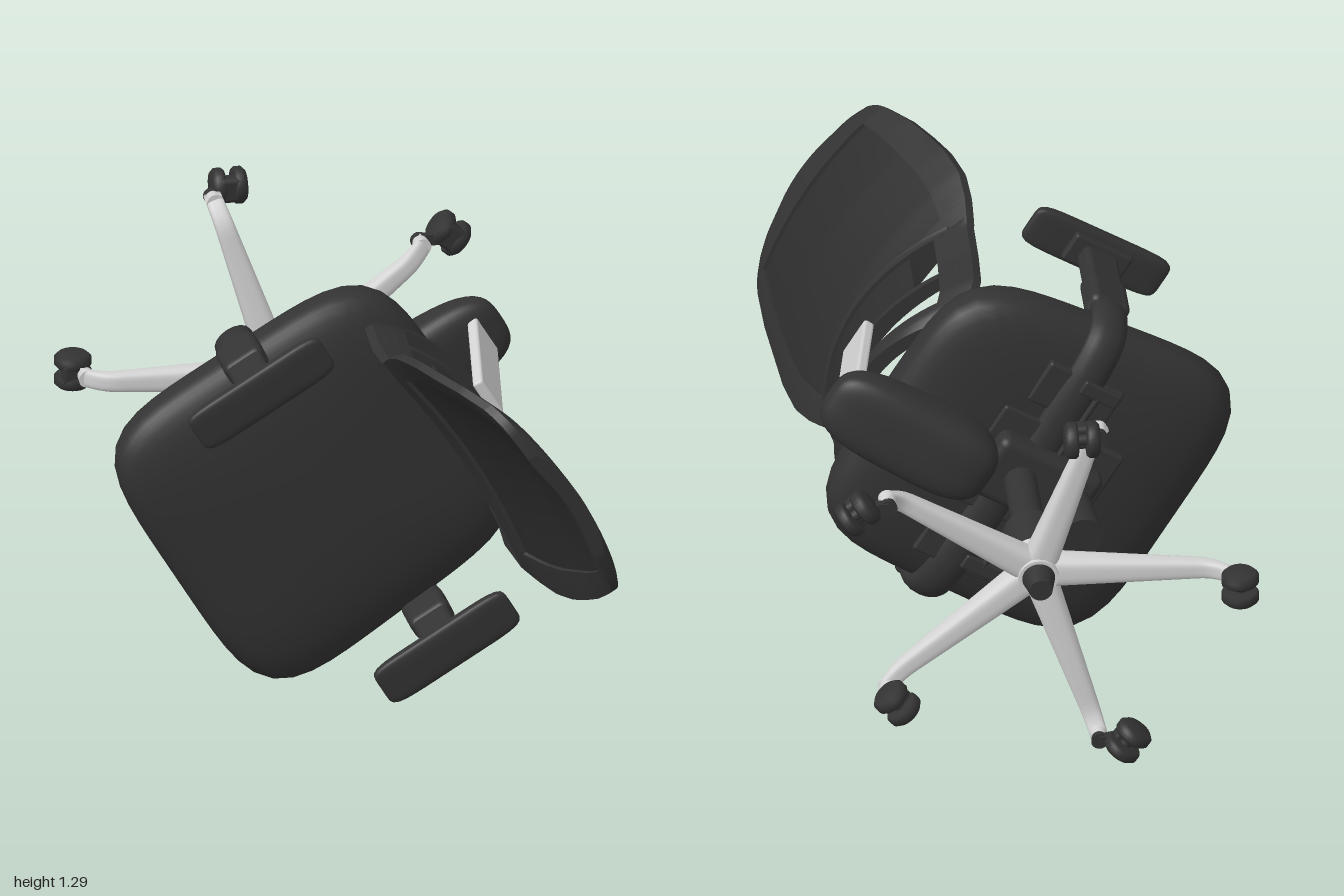
import * as THREE from 'three';
import { mergeVertices } from 'three/addons/utils/BufferGeometryUtils.js';
import { RoundedBoxGeometry } from 'three/addons/geometries/RoundedBoxGeometry.js';

const mat = (name, color) => Object.assign(new THREE.MeshStandardMaterial({ color }), { name });

// Piecewise-linear lookup in a short list of [x, y] pairs
function lookup(table, x) {
  let i = 0;
  while (i < table.length - 2 && x > table[i + 1][0]) i++;
  const [[x0, y0], [x1, y1]] = [table[i], table[i + 1]];
  return y0 + (y1 - y0) * THREE.MathUtils.clamp((x - x0) / (x1 - x0), 0, 1);
}

// Move every vertex of a geometry by a rule
function warp(geo, rule) {
  const p = geo.attributes.position;
  const v = new THREE.Vector3();
  for (let i = 0; i < p.count; i++) {
    v.fromBufferAttribute(p, i);
    rule(v);
    p.setXYZ(i, v.x, v.y, v.z);
  }
  geo.computeVertexNormals();
  return geo;
}

// Join coincident corners so that the surface shades smoothly
function weld(geo) {
  geo.deleteAttribute('uv');
  geo.deleteAttribute('normal');
  return mergeVertices(geo, 1e-5);
}

// Rounded cushion: superellipse in plan (n) and in section (m), half sizes a, b, c
function pillow(a, b, c, n, m, rule = () => {}) {
  return warp(weld(new THREE.SphereGeometry(1, 64, 32)), (v) => {
    const r = Math.hypot(v.x, v.z);
    const plan = r < 1e-4 ? 1 : ((Math.abs(v.x) / r) ** n + (Math.abs(v.z) / r) ** n) ** (-1 / n);
    const sect = (r ** m + Math.abs(v.y) ** m) ** (-1 / m);
    v.set(v.x * plan * sect * a, v.y * sect * b, v.z * plan * sect * c);
    rule(v);
  });
}

// Backrest surface: half width, edge position and hollow at each height
const HALF = [[-0.05, 0.31], [-0.02, 0.36], [0.05, 0.4], [0.2, 0.395], [0.34, 0.41], [0.42, 0.455], [0.5, 0.48], [0.6, 0.475],
  [0.7, 0.45], [0.8, 0.42], [0.9, 0.375], [0.94, 0.35], [0.97, 0.315], [0.99, 0.27], [1, 0.2]];
const EDGE = [[-0.05, -0.35], [0.2, -0.33], [0.35, -0.34], [0.5, -0.39], [0.7, -0.46], [0.9, -0.54], [1, -0.57]];
const BOW = [[0, 0.15], [0.355, 0.14], [0.365, 0.04], [0.5, 0.07], [0.7, 0.08], [0.9, 0.05], [1, 0.03]];

function backPatch(u0, u1, h0, h1, thick) {
  const geo = new THREE.BoxGeometry(1, 1, 1, 24, Math.max(6, Math.ceil((h1 - h0) * 60)), 2);
  return warp(geo, (v) => {
    const u = u0 + (u1 - u0) * (v.x + 0.5);
    const h = h0 + (h1 - h0) * (v.y + 0.5);
    const round = 1 - 0.45 * Math.abs(u) ** 8;
    v.set(u * lookup(HALF, h), h, lookup(EDGE, h) - lookup(BOW, h) * (1 - u * u) + v.z * thick * round);
  });
}

export function createModel() {
  const model = new THREE.Group();
  const dark = mat('charcoal', 0x333333);
  const fabric = mat('dark fabric', 0x2d2d2d);
  const metal = mat('brushed grey', 0xd2d2d2);

  const add = (parent, name, geo, material, x = 0, y = 0, z = 0) => {
    const m = new THREE.Mesh(geo, material);
    m.name = name;
    m.position.set(x, y, z);
    parent.add(m);
    return m;
  };
  const cyl = (rt, rb, h, n = 32) => new THREE.CylinderGeometry(rt, rb, h, n);

  // The chair lies with its upright axis along the model's z
  const chair = new THREE.Group();
  chair.name = 'chair';
  chair.rotation.x = Math.PI / 2;
  chair.position.set(0, 0.67, 0);
  model.add(chair);

  // Five-star base
  const base = new THREE.Group();
  base.name = 'base';
  chair.add(base);
  add(base, 'hub', cyl(0.075, 0.06, 0.11), metal, 0, -0.78, 0);
  add(base, 'hubCap', cyl(0.05, 0.035, 0.07), dark, 0, -0.87, 0);
  add(base, 'columnSleeve', cyl(0.083, 0.07, 0.15), dark, 0, -0.655, 0);
  add(base, 'gasColumn', cyl(0.05, 0.05, 0.4), dark, 0, -0.4, 0);

  // Leg: tapered, squarish bar that droops and hooks down at the tip
  const legGeo = warp(weld(new THREE.CylinderGeometry(1, 1, 1, 24, 24).rotateZ(-Math.PI / 2)), (v) => {
    const t = v.x + 0.5;
    const square = 1 / ((v.y ** 4 + v.z ** 4) ** 0.25 || 1);
    const hook = Math.max(0, (t - 0.82) / 0.18) ** 2;
    v.set(0.03 + 0.56 * t, -0.78 - 0.055 * t - 0.05 * hook + v.y * square * (0.045 - 0.025 * t),
      v.z * square * (0.05 - 0.024 * t));
  });
  const wheelProfile = [[0, -0.02], [0.05, -0.02], [0.057, -0.012], [0.057, 0.008], [0.045, 0.02], [0, 0.022]];
  const wheelGeo = new THREE.LatheGeometry(wheelProfile.map(([r, y]) => new THREE.Vector2(r, y)), 28);
  // Leg angle, wheel centre x and z, axle angle (degrees)
  const casters = [[180, -0.6, 0, 90], [108, -0.12, -0.56, 0], [36, 0.56, -0.34, -40], [-36, 0.44, 0.35, 50], [252, -0.26, 0.53, -55]];
  for (const [deg, x, z, axle] of casters) {
    const a = THREE.MathUtils.degToRad(deg);
    add(base, 'leg', legGeo, metal).rotation.y = a;
    const [sx, sz] = [0.572 * Math.cos(a), -0.572 * Math.sin(a)];
    add(base, 'legTip', cyl(0.027, 0.024, 0.04, 20), metal, sx, -0.878, sz);
    add(base, 'casterStem', cyl(0.022, 0.026, 0.03, 20), dark, sx, -0.905, sz);
    const link = add(base, 'casterLink', new THREE.BoxGeometry(Math.hypot(x - sx, z - sz), 0.025, 0.035), dark,
      (x + sx) / 2, -0.915, (z + sz) / 2);
    link.rotation.y = -Math.atan2(z - sz, x - sx);
    const caster = new THREE.Group();
    caster.name = 'caster';
    caster.position.set(x, -0.943, z);
    caster.rotation.y = THREE.MathUtils.degToRad(axle);
    base.add(caster);
    for (const s of [-1, 1]) {
      add(caster, 'wheel', wheelGeo, dark, s * 0.033, 0, 0).rotation.z = -s * Math.PI / 2;
    }
    add(caster, 'axle', cyl(0.018, 0.018, 0.07, 16), dark).rotation.z = Math.PI / 2;
    add(caster, 'casterHood', new RoundedBoxGeometry(0.07, 0.05, 0.08, 2, 0.015), dark, 0, 0.025, 0);
  }

  // Swivelled upper part: +z is the sitter's forward
  const upper = new THREE.Group();
  upper.name = 'upper';
  upper.rotation.y = -THREE.MathUtils.degToRad(59);
  chair.add(upper);

  // Seat cushion, sloping slightly to the rear
  add(upper, 'seat', pillow(0.515, 0.132, 0.515, 4.8, 3, (v) => {
    v.x = v.x * (1 + 0.07 * v.z) + 0.014;
    v.z += 0.055;
    v.y += -0.083 + 0.06 * v.z;
  }), dark);

  // Tilt mechanism under the seat
  add(upper, 'mechanism', new RoundedBoxGeometry(0.22, 0.1, 0.36, 3, 0.03), dark, 0, -0.245, 0.06);
  add(upper, 'mechanismPlate', new RoundedBoxGeometry(0.36, 0.03, 0.42, 2, 0.01), dark, 0, -0.215, 0.06);
  add(upper, 'tensionKnob', cyl(0.06, 0.065, 0.17), dark, 0, -0.38, 0.19).rotation.x = -0.12;
  for (const s of [-1, 1]) {
    add(upper, 'lever', cyl(0.01, 0.01, 0.24, 12), dark, s * 0.23, -0.24, 0.08).rotation.z = Math.PI / 2;
    add(upper, 'leverPaddle', new RoundedBoxGeometry(0.05, 0.018, 0.13, 2, 0.008), dark, s * 0.35, -0.24, 0.08);
  }

  // Rear support arm and metal upright
  add(upper, 'supportArm', pillow(0.13, 0.105, 0.28, 3.4, 3.2, (v) => {
    const t = 0.5 - v.z / 0.56;
    v.y = v.y * (1.1 - 0.5 * t) - 0.33 + 0.045 * t;
    v.z -= 0.395;
  }), dark);
  add(upper, 'upright', new RoundedBoxGeometry(0.135, 0.4, 0.035, 3, 0.01), metal, 0, -0.06, -0.56).rotation.x = 0.2;

  // Backrest: a gently curved upper shell above a deeply bowed lumbar frame
  const back = new THREE.Group();
  back.name = 'backrest';
  back.position.x = 0.014;
  upper.add(back);
  add(back, 'frameTop', backPatch(-1, 1, 0.9, 1, 0.048), dark);
  add(back, 'frameMiddle', backPatch(-1, 1, 0.365, 0.41, 0.048), dark);
  add(back, 'frameBottom', backPatch(-1, 1, -0.05, 0.01, 0.048), dark);
  for (const [u0, u1] of [[-1, -0.78], [0.78, 1]]) {
    add(back, 'frameSide', backPatch(u0, u1, 0.41, 0.9, 0.048), dark);
    add(back, 'frameLowerSide', backPatch(u0, u1, 0.01, 0.365, 0.048), dark);
  }
  add(back, 'backPanel', backPatch(-0.79, 0.79, 0.4, 0.91, 0.025), fabric);
  add(back, 'lumbarPad', backPatch(-0.56, 0.56, 0.16, 0.34, 0.025), fabric);
  for (const h of [0.135, 0.33]) add(back, 'lumbarRib', backPatch(-0.88, 0.88, h, h + 0.025, 0.05), dark);

  // Armrests: pad, post and curved bracket running under the seat
  for (const s of [-1, 1]) {
    const arm = new THREE.Group();
    arm.name = s > 0 ? 'leftArmrest' : 'rightArmrest';
    arm.position.set(0.014, 0, 0.012 - s * 0.016);
    upper.add(arm);
    const x = s * 0.53;
    add(arm, 'armPad', pillow(0.07, 0.023, 0.235, 7, 4), dark, x, 0.295, 0);
    add(arm, 'padMount', new RoundedBoxGeometry(0.1, 0.03, 0.2, 2, 0.01), dark, x, 0.262, 0);
    add(arm, 'armPost', new RoundedBoxGeometry(0.065, 0.24, 0.12, 3, 0.02), dark, x, 0.14, 0);
    add(arm, 'postSleeve', new RoundedBoxGeometry(0.08, 0.16, 0.135, 3, 0.025), dark, x, 0.03, 0);
    const path = new THREE.CatmullRomCurve3([[0.53, 0.03], [0.535, -0.08], [0.5, -0.16], [0.4, -0.2], [0.1, -0.215]]
      .map(([px, py]) => new THREE.Vector3(s * px, py, 0)));
    const bracket = new THREE.TubeGeometry(path, 32, 0.034, 16).scale(1, 1, 1.8);
    add(arm, 'armBracket', bracket, dark);
    add(arm, 'bracketPlate', new RoundedBoxGeometry(0.15, 0.03, 0.26, 2, 0.01), dark, s * 0.31, -0.205, 0);
  }
  return model;
}
